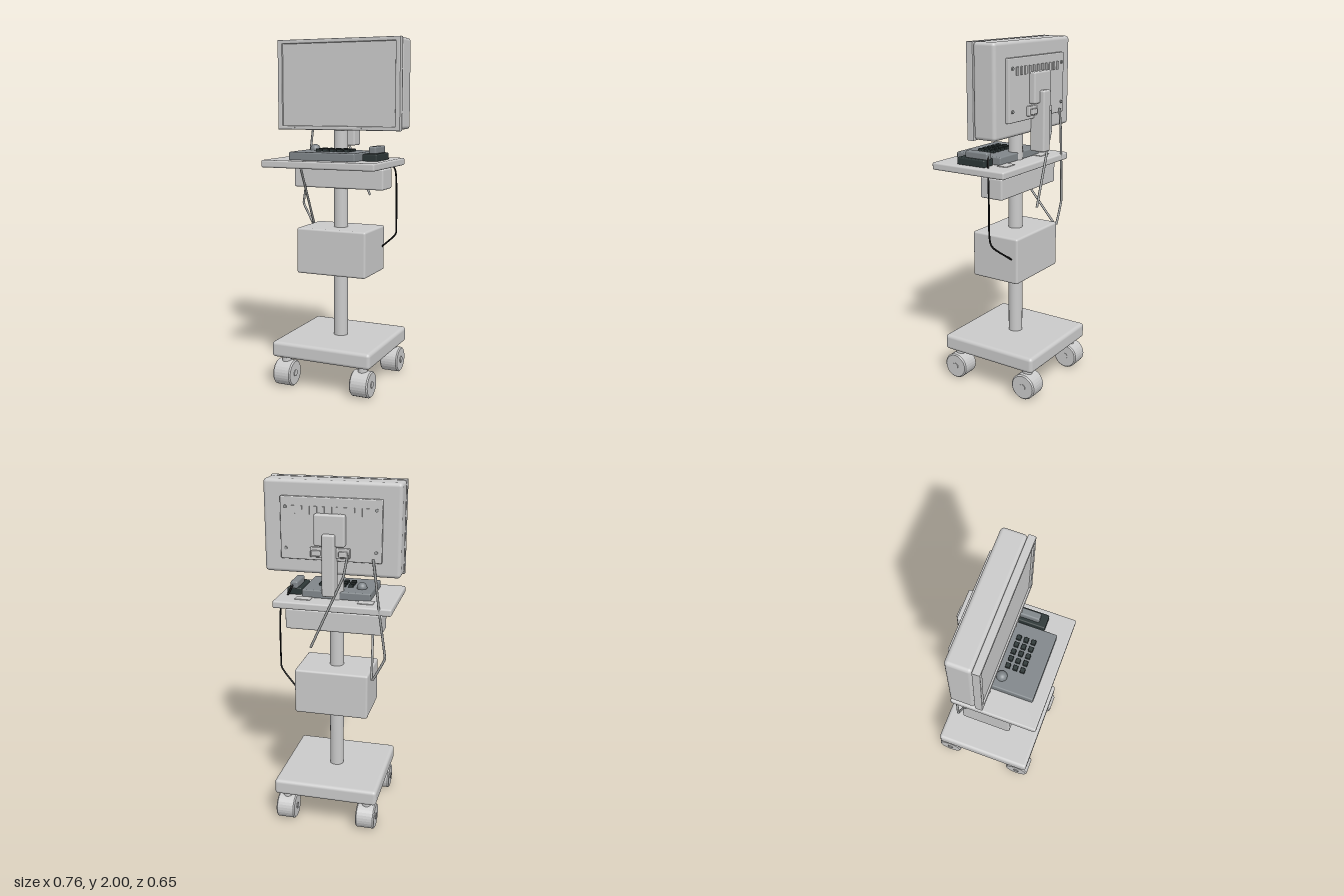
import * as THREE from 'three';
import { RoundedBoxGeometry } from 'three/addons/geometries/RoundedBoxGeometry.js';

const mat = (name, color) => {
  const m = new THREE.MeshStandardMaterial({ color });
  m.name = name;
  return m;
};

export function createModel() {
  const body = mat('light grey', 0xcacaca);
  const cableGrey = mat('cable grey', 0xa0a2a2);
  const panel = mat('mid grey', 0x80868a);
  const dark = mat('charcoal', 0x2c3636);
  const black = mat('black', 0x101010);

  const model = new THREE.Group();
  model.name = 'computerCart';

  const add = (name, geometry, material, x = 0, y = 0, z = 0) => {
    const mesh = new THREE.Mesh(geometry, material);
    mesh.name = name;
    mesh.position.set(x, y, z);
    model.add(mesh);
    return mesh;
  };
  // Rounded box given by its limits on each axis
  const box = (name, material, [x0, x1], [y0, y1], [z0, z1], r = 0.008) =>
    add(name, new RoundedBoxGeometry(x1 - x0, y1 - y0, z1 - z0, 3, r), material,
      (x0 + x1) / 2, (y0 + y1) / 2, (z0 + z1) / 2);
  // Cable made of short, nearly straight runs
  const cable = (name, material, r, points, tension) => {
    const path = new THREE.CatmullRomCurve3(
      points.map((p) => new THREE.Vector3(...p)), false, 'catmullrom', tension);
    add(name, new THREE.TubeGeometry(path, 80, r, 8), material);
  };

  // Base and casters
  box('base', body, [-0.305, 0.305], [0.18, 0.272], [-0.32, 0.29], 0.02);
  const tyre = new THREE.LatheGeometry(
    [[0, -0.055], [0.068, -0.055], [0.075, -0.048], [0.075, 0.048], [0.068, 0.055], [0, 0.055]]
      .map(([r, y]) => new THREE.Vector2(r, y)), 28).toNonIndexed();
  tyre.computeVertexNormals();
  tyre.rotateZ(Math.PI / 2);
  const hub = new THREE.CylinderGeometry(0.019, 0.019, 0.118, 16).rotateZ(Math.PI / 2);
  const stem = new THREE.CylinderGeometry(0.028, 0.028, 0.05, 20);
  for (const x of [-0.24, 0.24]) {
    for (const z of [-0.254, 0.225]) {
      add('casterWheel', tyre, body, x, 0.078, z);
      add('casterHub', hub, body, x, 0.078, z);
      add('casterStem', stem, body, x, 0.162, z);
    }
  }

  // Post, equipment box, drawer and shelf
  add('post', new THREE.CylinderGeometry(0.041, 0.041, 1.26, 32), body, 0, 0.89, -0.012);
  box('equipmentBox', body, [-0.215, 0.215], [0.655, 0.922], [-0.165, 0.138], 0.012);
  box('drawer', body, [-0.28, 0.28], [1.15, 1.27], [-0.108, 0.035], 0.01);
  box('shelf', body, [-0.34, 0.34], [1.283, 1.325], [-0.16, 0.325], 0.01);
  for (const x of [-0.18, 0.18])
    box('cableGrommet', body, [x - 0.045, x + 0.045], [1.322, 1.329], [-0.1, -0.04], 0.002);

  // Monitor shell
  box('monitorBody', body, [-0.38, 0.38], [1.492, 2.0], [-0.135, 0.003], 0.02);
  const rect = (shape, w, h) => shape.moveTo(-w, -h).lineTo(w, -h).lineTo(w, h).lineTo(-w, h).closePath();
  const frame = rect(new THREE.Shape(), 0.374, 0.2515);
  frame.holes.push(rect(new THREE.Path(), 0.356, 0.24));
  add('monitorBezel', new THREE.ExtrudeGeometry(frame, {
    depth: 0.031, bevelThickness: 0.006, bevelSize: 0.006, bevelSegments: 2,
  }), body, 0, 1.7425, 0.008);
  add('screen', new THREE.BoxGeometry(0.715, 0.482, 0.034), body, 0, 1.7425, 0.017);
  for (const x of [0.12, 0.146, 0.18, 0.21, -0.275])
    add('bezelButton', new THREE.BoxGeometry(0.012, 0.006, 0.006), body, x, 1.497, 0.046);

  // Back panel with vents and screws
  box('backPanel', body, [-0.28, 0.28], [1.575, 1.915], [-0.157, -0.12], 0.006);
  for (let i = 0; i < 11; i++)
    add('vent', new THREE.BoxGeometry(0.018, 0.045, 0.008), body, (i - 5) * 0.041, 1.845, -0.159);
  const screw = new THREE.CylinderGeometry(0.009, 0.009, 0.01, 14).rotateX(Math.PI / 2);
  for (const x of [-0.25, 0.25])
    for (const y of [1.635, 1.86]) add('screw', screw, cableGrey, x, y, -0.159);

  // Mount plate, arm and connectors
  box('mountPlate', body, [-0.085, 0.085], [1.66, 1.832], [-0.194, -0.15], 0.01);
  box('mountArm', body, [-0.035, 0.035], [1.39, 1.73], [-0.222, -0.13], 0.01);
  box('connectorStrip', body, [-0.11, 0.11], [1.595, 1.65], [-0.175, -0.15], 0.005);
  for (const x of [-0.075, 0.075])
    box('plug', body, [x - 0.025, x + 0.025], [1.605, 1.635], [-0.192, -0.165], 0.005);

  // Control keyboard with trackball
  box('keyboard', panel, [-0.2, 0.2], [1.322, 1.37], [-0.045, 0.258], 0.008);
  const key = new RoundedBoxGeometry(0.028, 0.024, 0.026, 2, 0.003);
  for (let c = 0; c < 5; c++)
    for (let r = 0; r < 3; r++)
      add('key', key, dark, -0.063 + c * 0.043, 1.374, 0.069 + r * 0.0415);
  add('trackball', new THREE.SphereGeometry(0.03, 24, 16), panel, -0.13, 1.375, 0.058);

  // Handset on its cradle
  box('cradle', dark, [0.212, 0.298], [1.322, 1.365], [-0.005, 0.18], 0.008);
  box('handset', panel, [0.233, 0.277], [1.36, 1.403], [-0.01, 0.14], 0.01);

  // Cables
  cable('handsetCable', black, 0.005, [
    [0.26, 1.385, -0.005], [0.295, 1.31, -0.03], [0.322, 1.26, -0.05], [0.328, 1.15, -0.056],
    [0.328, 0.95, -0.058], [0.315, 0.885, -0.075], [0.215, 0.8, -0.128]], 0.4);
  cable('powerCable', cableGrey, 0.007, [
    [-0.235, 1.6, -0.16], [-0.252, 1.48, -0.16], [-0.27, 1.32, -0.155], [-0.308, 1.03, -0.14],
    [-0.235, 0.89, -0.145], [-0.185, 1.265, 0.137]], 0.05);
  cable('signalCable', cableGrey, 0.007, [
    [-0.1, 1.62, -0.18], [-0.08, 1.5, -0.197], [0.1, 1.09, -0.22]], 0.05);

  return model;
}
